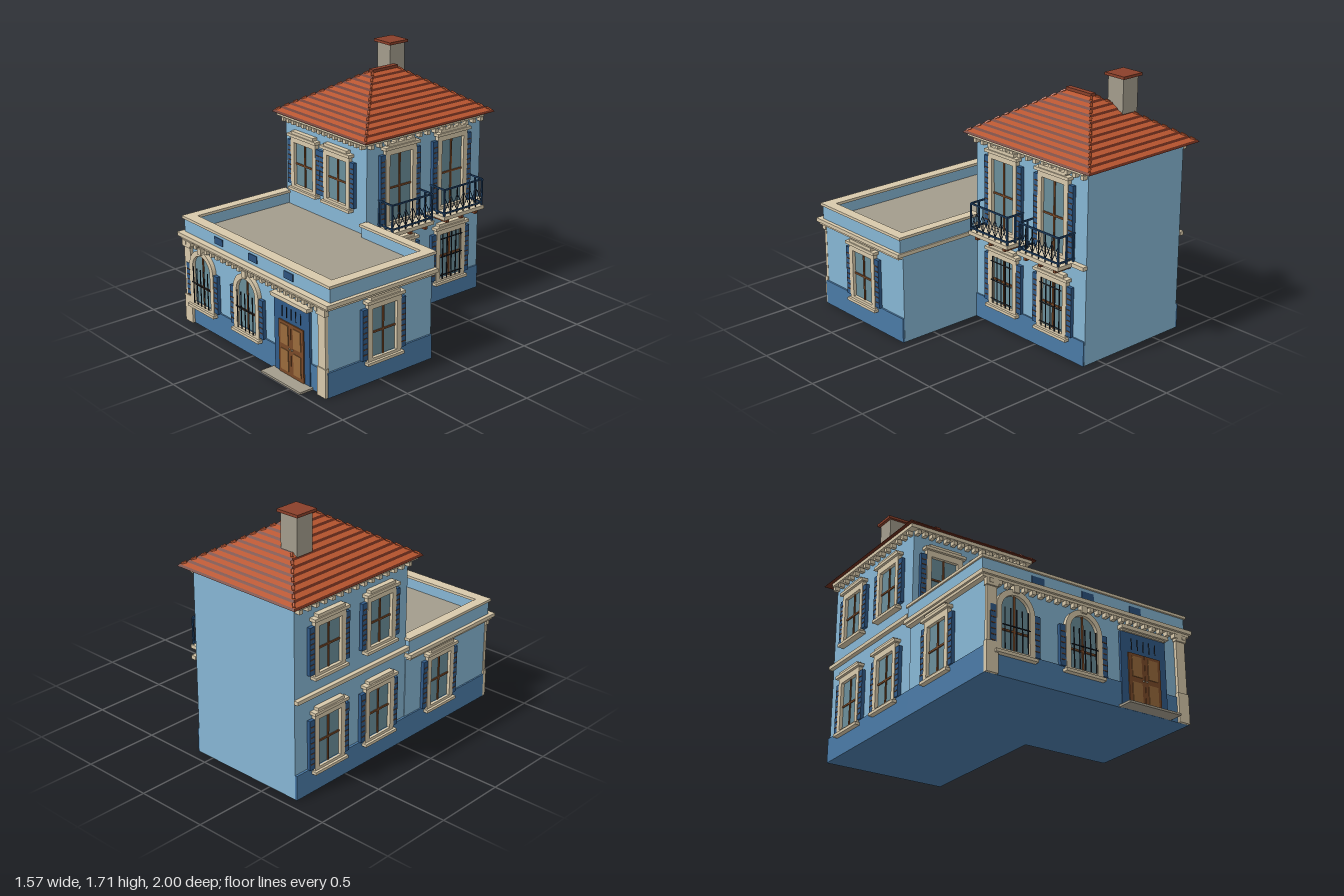
import * as THREE from 'three';

const C = {
  wall: 0x86b6d4, base: 0x4a7aa6, trim: 0xd8c9ab, shutter: 0x305a88, slat: 0x70492f, glass: 0x6a8e9a,
  wood: 0x7a4a28, panel: 0x9a6b3c, iron: 0x1a2028, rail: 0x22456c, stone: 0xa39c8c,
  tile: 0xb8552f, tileDark: 0x6b2d1c, cap: 0x8a402a, vent: 0x2c527e, bracket: 0x7a4226,
};
const mats = {};
const mat = (c) => (mats[c] ??= new THREE.MeshStandardMaterial({ color: C[c], flatShading: true }));

function add(parent, name, geo, c) {
  const m = new THREE.Mesh(geo, mat(c));
  m.name = name;
  parent.add(m);
  return m;
}
// box given by its limits on each axis
function box(parent, name, c, x0, x1, y0, y1, z0, z1) {
  const m = add(parent, name, new THREE.BoxGeometry(x1 - x0, y1 - y0, z1 - z0), c);
  m.position.set((x0 + x1) / 2, (y0 + y1) / 2, (z0 + z1) / 2);
  return m;
}
// straight rod between two points
function rod(parent, name, c, a, b, r, sides = 6) {
  const p = new THREE.Vector3(...a), q = new THREE.Vector3(...b), d = q.clone().sub(p);
  const m = add(parent, name, new THREE.CylinderGeometry(r, r, d.length(), sides), c);
  m.position.copy(p).add(q).multiplyScalar(0.5);
  m.quaternion.setFromUnitVectors(new THREE.Vector3(0, 1, 0), d.normalize());
  return m;
}
// rectangular or round-topped outline
function outline(T, w, y0, y1, arched) {
  const s = new T();
  s.moveTo(-w, y0);
  s.lineTo(w, y0);
  s.lineTo(w, y1);
  if (arched) s.absarc(0, y1, w, 0, Math.PI, false);
  else s.lineTo(-w, y1);
  s.closePath();
  return s;
}
const extrude = (s, depth) => new THREE.ExtrudeGeometry(s, { depth, bevelEnabled: false, curveSegments: 12 });

// wall frame: local x runs along the wall, z points outwards
function facade(root, name, x, z, turn) {
  const g = new THREE.Group();
  g.name = name;
  g.position.set(x, 0, z);
  g.rotation.y = turn;
  root.add(g);
  return g;
}

function addWindow(parent, cx, y0, y1, { arched = false, bars = false, sill = true } = {}) {
  const g = new THREE.Group();
  g.name = 'window';
  g.position.x = cx;
  parent.add(g);
  const w = 0.097, outer = 0.132, mid = (y0 + y1) / 2;
  const top = arched ? y1 + w : y1;
  add(g, 'glass', extrude(outline(THREE.Shape, w, y0, y1, arched), 0.006), 'glass');
  const frame = outline(THREE.Shape, outer, y0 - 0.02, arched ? y1 : y1 + 0.04, arched);
  frame.holes.push(outline(THREE.Path, w, y0, y1, arched));
  add(g, 'windowFrame', extrude(frame, 0.028), 'trim');
  box(g, 'mullion', 'wood', -0.006, 0.006, y0, top, 0, 0.013);
  box(g, 'transom', 'wood', -w, w, mid - 0.006, mid + 0.006, 0, 0.013);
  if (sill) box(g, 'sill', 'trim', -0.145, 0.145, y0 - 0.037, y0 - 0.018, 0, 0.045);
  if (arched) {
    box(g, 'keystone', 'trim', -0.02, 0.02, top + 0.015, top + 0.06, 0, 0.04);
  } else {
    box(g, 'lintel', 'trim', -0.15, 0.15, y1 + 0.04, y1 + 0.06, 0, 0.045);
    box(g, 'lintelCrest', 'trim', -0.115, 0.115, y1 + 0.06, y1 + 0.08, 0, 0.036);
  }
  for (const s of [-1, 1]) {
    const x = s * 0.152;
    box(g, 'shutter', 'shutter', x - 0.02, x + 0.02, y0 - 0.002, y1 + 0.008, 0, 0.024);
    const n = Math.round((y1 - y0) / 0.035);
    for (let i = 1; i < n; i++) {
      const y = y0 + (y1 - y0) * i / n;
      box(g, 'shutterSlat', 'slat', x - 0.015, x + 0.015, y - 0.003, y + 0.003, 0.02, 0.027);
    }
  }
  if (bars) {
    for (let i = -2; i <= 2; i++) rod(g, 'windowBar', 'iron', [i * 0.04, y0, 0.034], [i * 0.04, y1 + 0.005, 0.034], 0.004);
    const ys = arched ? [mid + 0.02] : [y0 + 0.03, mid, y1 - 0.03];
    for (const y of ys) rod(g, 'crossBar', 'iron', [-w, y, 0.034], [w, y, 0.034], 0.004);
  }
}

function dentils(parent, x0, x1, y, step, depth) {
  const n = Math.round((x1 - x0) / step);
  for (let i = 0; i <= n; i++) {
    const x = x0 + (x1 - x0) * i / n;
    box(parent, 'dentil', 'trim', x - 0.013, x + 0.013, y, y + 0.027, 0, depth);
  }
}

function addBalcony(parent, cx) {
  const g = new THREE.Group();
  g.name = 'balcony';
  g.position.x = cx;
  parent.add(g);
  const w = 0.172, d = 0.137, lo = 0.69, hi = 0.855;
  box(g, 'balconySlab', 'trim', -w - 0.01, w + 0.01, 0.645, 0.67, 0, 0.15);
  for (const x of [-0.13, 0, 0.13]) box(g, 'bracket', 'bracket', x - 0.011, x + 0.011, 0.615, 0.645, 0, 0.13);
  for (const y of [lo, hi]) {
    box(g, 'frontRail', 'rail', -w, w, y - 0.005, y + 0.005, d - 0.005, d + 0.005);
    for (const s of [-1, 1]) box(g, 'sideRail', 'rail', s * w - 0.005, s * w + 0.005, y - 0.005, y + 0.005, 0, d);
  }
  for (const s of [-1, 1]) for (const z of [0.01, 0.07, d]) {
    box(g, 'railPost', 'rail', s * w - 0.005, s * w + 0.005, 0.67, hi, z - 0.005, z + 0.005);
  }
  const n = 6, p = 2 * w / n;
  for (let i = 0; i < n; i++) {
    const a = -w + i * p, b = a + p;
    if (i) rod(g, 'baluster', 'iron', [a, 0.67, d], [a, hi, d], 0.004);
    rod(g, 'lattice', 'rail', [a, lo, d], [b, hi - 0.05, d], 0.003, 4);
    rod(g, 'lattice', 'rail', [b, lo, d], [a, hi - 0.05, d], 0.003, 4);
  }
}

// hipped roof: overlapping courses, each a dark lip below a sloping tile face
function addRoof(root) {
  const g = new THREE.Group();
  g.name = 'roof';
  g.position.set(-0.3, 1.275, -0.4325);
  root.add(g);
  const N = 11, h = 0.0262, ext = (t) => [0.485 - 0.465 * t, 0.567 - 0.457 * t];
  const frustum = (name, c, y0, y1, a, b) => {
    const geo = new THREE.BoxGeometry(2, y1 - y0, 2), p = geo.attributes.position;
    for (let i = 0; i < p.count; i++) {
      const e = p.getY(i) > 0 ? b : a;
      p.setX(i, p.getX(i) * e[0]);
      p.setZ(i, p.getZ(i) * e[1]);
    }
    geo.computeVertexNormals();
    add(g, name, geo, c).position.y = (y0 + y1) / 2;
  };
  for (let i = 0; i < N; i++) {
    const y = i * h, a = ext(i / N), m = ext((i + 0.25) / N), b = ext((i + 1) / N);
    frustum('tileLip', 'tileDark', y, y + 0.013, a, m);
    frustum('tileCourse', 'tile', y + 0.013, y + h, m, b);
    for (const sx of [-1, 1]) for (const sz of [-1, 1]) {
      rod(g, 'hipTile', 'tile', [sx * (m[0] - 0.01), y + 0.012, sz * (m[1] - 0.01)], [sx * b[0], y + h, sz * b[1]], 0.011);
    }
  }
  box(g, 'ridgeCap', 'cap', -0.02, 0.02, N * h - 0.01, 0.308, -0.11, 0.11);
}

export function createModel() {
  const root = new THREE.Group();
  root.name = 'villa';

  // main volumes and plinths
  box(root, 'wingWalls', 'wall', -0.72, 0.735, 0, 0.6, 0.07, 0.89);
  box(root, 'towerWalls', 'wall', -0.715, 0.12, 0, 1.28, -0.93, 0.07);
  box(root, 'wingPlinth', 'base', -0.73, 0.747, -0.0005, 0.165, 0.072, 0.9);
  box(root, 'towerPlinth', 'base', -0.73, 0.13, -0.0005, 0.165, -0.929, 0.08);

  // wing cornice, flat deck and parapet
  box(root, 'corniceBed', 'trim', -0.755, 0.77, 0.575, 0.592, 0.072, 0.918);
  box(root, 'cornice', 'trim', -0.768, 0.783, 0.592, 0.617, 0.06, 0.933);
  box(root, 'deck', 'stone', -0.72, 0.73, 0.61, 0.635, 0.075, 0.87);
  const parapet = [[-0.742, -0.692, 0.07, 0.89], [0.705, 0.757, 0.07, 0.89], [-0.692, 0.705, 0.835, 0.89], [0.12, 0.705, 0.07, 0.115]];
  for (const [x0, x1, z0, z1] of parapet) {
    box(root, 'parapet', 'wall', x0, x1, 0.615, 0.71, z0, z1);
    box(root, 'parapetCap', 'trim', x0 - 0.01, x1 + 0.01, 0.708, 0.726, z0 - 0.01, z1 + 0.012);
  }

  // wing front
  const front = facade(root, 'wingFront', 0, 0.89, 0);
  for (const x of [-0.53, -0.045]) addWindow(front, x, 0.162, 0.412, { arched: true, bars: true });
  dentils(front, -0.7, 0.72, 0.547, 0.06, 0.035);
  for (const x of [-0.355, 0.008, 0.368]) box(front, 'parapetVent', 'vent', x - 0.044, x + 0.044, 0.638, 0.685, 0, 0.005);
  for (const x of [-0.69, 0.702]) {
    box(front, 'pilaster', 'trim', x - 0.034, x + 0.034, 0, 0.575, 0, 0.022);
    box(front, 'pilasterBase', 'trim', x - 0.04, x + 0.04, 0, 0.19, 0, 0.028);
    box(front, 'pilasterCapital', 'trim', x - 0.042, x + 0.042, 0.53, 0.575, 0, 0.032);
  }

  // entrance
  box(front, 'doorSurround', 'shutter', 0.235, 0.58, 0, 0.495, 0, 0.016);
  box(front, 'doorLintel', 'trim', 0.23, 0.59, 0.505, 0.53, 0, 0.042);
  box(front, 'doorHead', 'trim', 0.245, 0.57, 0.495, 0.505, 0, 0.028);
  for (let i = 0; i < 5; i++) rod(front, 'transomBar', 'iron', [0.317 + i * 0.045, 0.39, 0.018], [0.317 + i * 0.045, 0.46, 0.018], 0.003);
  for (const s of [-1, 1]) {
    const x = 0.408 + s * 0.061;
    box(front, 'doorLeaf', 'wood', x - 0.06, x + 0.06, 0.015, 0.365, 0, 0.024);
    box(front, 'doorPanel', 'panel', x - 0.036, x + 0.036, 0.215, 0.345, 0.02, 0.028);
    box(front, 'doorPanel', 'panel', x - 0.036, x + 0.036, 0.04, 0.18, 0.02, 0.028);
    box(front, 'doorKnob', 'trim', 0.408 + s * 0.013 - 0.004, 0.408 + s * 0.013 + 0.004, 0.194, 0.202, 0.02, 0.032);
  }
  box(front, 'doorstep', 'stone', 0.213, 0.602, 0, 0.014, 0, 0.11);

  // tower front
  const towerFront = facade(root, 'towerFront', 0, 0.07, 0);
  for (const x of [-0.5, -0.155]) addWindow(towerFront, x, 0.795, 1.093);

  // right and left sides, where local x is -z and +z
  const wingLeft = facade(root, 'wingLeftSide', 0.735, 0, Math.PI / 2);
  addWindow(wingLeft, -0.472, 0.165, 0.488);
  const towerLeft = facade(root, 'towerLeftSide', 0.12, 0, Math.PI / 2);
  const farSide = facade(root, 'rightSide', -0.718, 0, -Math.PI / 2);
  for (const z of [-0.2, -0.655]) {
    addWindow(towerLeft, -z, 0.165, 0.488, { bars: true });
    addWindow(towerLeft, -z, 0.69, 1.148, { sill: false });
    addBalcony(towerLeft, -z);
    addWindow(farSide, z, 0.165, 0.488);
    addWindow(farSide, z, 0.795, 1.093);
  }
  addWindow(farSide, 0.4, 0.165, 0.488);
  box(towerLeft, 'stringCourse', 'trim', -0.06, 0.937, 0.645, 0.67, 0, 0.035);
  box(farSide, 'stringCourse', 'trim', -0.937, 0.07, 0.645, 0.67, 0, 0.03);

  // tower eaves
  box(root, 'eavesCornice', 'trim', -0.76, 0.16, 1.252, 1.276, -0.928, 0.115);
  dentils(towerFront, -0.7, 0.105, 1.22, 0.055, 0.04);
  dentils(towerLeft, -0.05, 0.91, 1.22, 0.07, 0.035);
  dentils(farSide, -0.91, 0.05, 1.22, 0.07, 0.035);

  addRoof(root);

  // chimney
  box(root, 'chimney', 'stone', -0.525, -0.395, 1.3, 1.69, -0.705, -0.575);
  box(root, 'chimneyCap', 'cap', -0.545, -0.38, 1.69, 1.708, -0.722, -0.558);
  return root;
}
